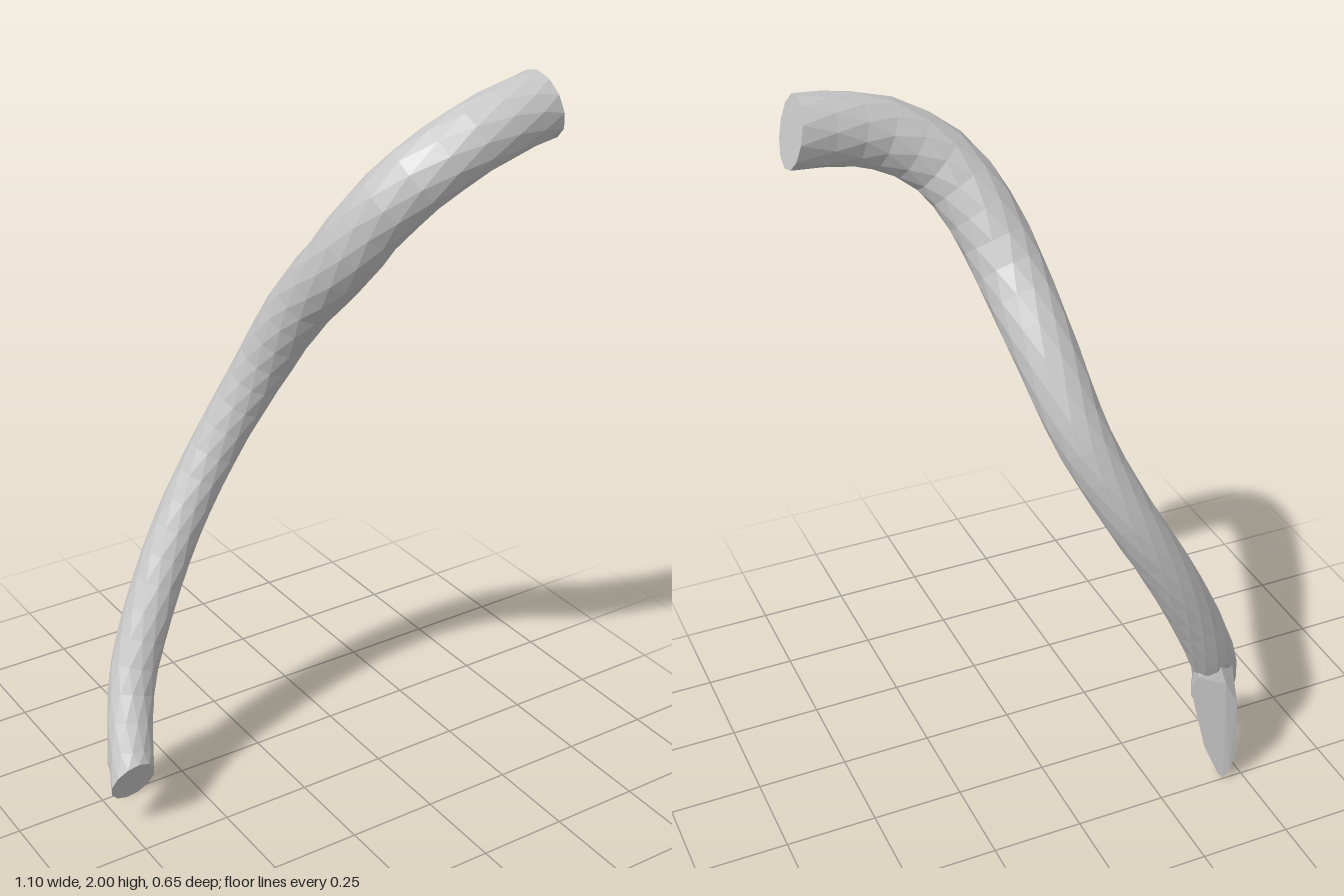
import * as THREE from 'three';
import { ConvexGeometry } from 'three/addons/geometries/ConvexGeometry.js';

const V = (x, y, z) => new THREE.Vector3(x, y, z);
const SIDES = 12, RINGS = 30;

// Bent limb: staggered rings along a curve, with both ends sawn off at an angle
function limbGeometry() {
  const curve = new THREE.CatmullRomCurve3([
    V(0.525, 1.92, 0.222), V(0.42, 1.905, 0.235), V(0.3, 1.872, 0.24), V(0.17, 1.79, 0.207),
    V(0.1, 1.68, 0.135), V(0.067, 1.58, 0.07), V(0.03, 1.4, -0.08), V(-0.02, 1.2, -0.19),
    V(-0.113, 1, -0.246), V(-0.225, 0.8, -0.256), V(-0.328, 0.6, -0.236),
    V(-0.418, 0.4, -0.195), V(-0.46, 0.28, -0.138), V(-0.49, 0.17, -0.075),
  ]);
  const frames = curve.computeFrenetFrames(RINGS, false);
  const cuts = { 0: V(0.97, 0.25, 0.05).normalize(), [RINGS]: V(-0.05, -0.39, 0.92).normalize() };
  const pos = [], idx = [];
  for (let i = 0; i <= RINGS; i++) {
    const u = i / RINGS, c = curve.getPointAt(u), t = frames.tangents[i];
    const r = 0.087 - 0.021 * THREE.MathUtils.smoothstep(u, 0.25, 0.6)
      - 0.007 * THREE.MathUtils.smoothstep(u, 0.8, 1);
    for (let j = 0; j < SIDES; j++) {
      const a = ((j + (i % 2) / 2) / SIDES) * Math.PI * 2;
      const o = frames.normals[i].clone().multiplyScalar(Math.cos(a) * r)
        .addScaledVector(frames.binormals[i], Math.sin(a) * r);
      const n = cuts[i];
      if (n) o.addScaledVector(t, -o.dot(n) / t.dot(n));
      o.add(c);
      pos.push(o.x, o.y, o.z);
    }
  }
  for (let i = 0; i < RINGS; i++) {
    for (let j = 0; j < SIDES; j++) {
      const k = (j + 1) % SIDES, p = i * SIDES, q = p + SIDES;
      if (i % 2) idx.push(p + j, p + k, q + k, p + j, q + k, q + j);
      else idx.push(p + j, p + k, q + j, p + k, q + k, q + j);
    }
  }
  // End caps
  const last = RINGS * SIDES;
  for (let j = 1; j < SIDES - 1; j++) {
    idx.push(0, j + 1, j, last, last + j, last + j + 1);
  }
  const g = new THREE.BufferGeometry();
  g.setAttribute('position', new THREE.Float32BufferAttribute(pos, 3));
  g.setIndex(idx);
  g.computeVertexNormals();
  return g;
}

// Short side shoot, sliced obliquely down to a point
function shootGeometry() {
  const slice = [
    V(-0.362, 0.3, -0.185), V(-0.4, 0.1, -0.213), V(-0.435, 0.01, -0.235), V(-0.445, 0, -0.247),
    V(-0.457, 0.03, -0.258), V(-0.47, 0.1, -0.268), V(-0.45, 0.3, -0.285),
    V(-0.415, 0.37, -0.28), V(-0.362, 0.37, -0.225),
  ];
  const back = [V(-0.46, 0.2, -0.2), V(-0.425, 0.2, -0.185), V(-0.465, 0.1, -0.235)];
  const root = [
    V(-0.362, 0.42, -0.2), V(-0.39, 0.46, -0.17), V(-0.44, 0.42, -0.18),
    V(-0.45, 0.42, -0.24), V(-0.4, 0.44, -0.262),
  ];
  return new ConvexGeometry([...slice, ...back, ...root]);
}

export function createModel() {
  const group = new THREE.Group();
  group.name = 'branch';
  const wood = new THREE.MeshStandardMaterial({ color: 0xc8c8c8, flatShading: true });
  wood.name = 'pale grey';
  const add = (name, geometry) => {
    const mesh = new THREE.Mesh(geometry, wood);
    mesh.name = name;
    group.add(mesh);
  };
  add('limb', limbGeometry());
  add('sideShoot', shootGeometry());
  return group;
}
